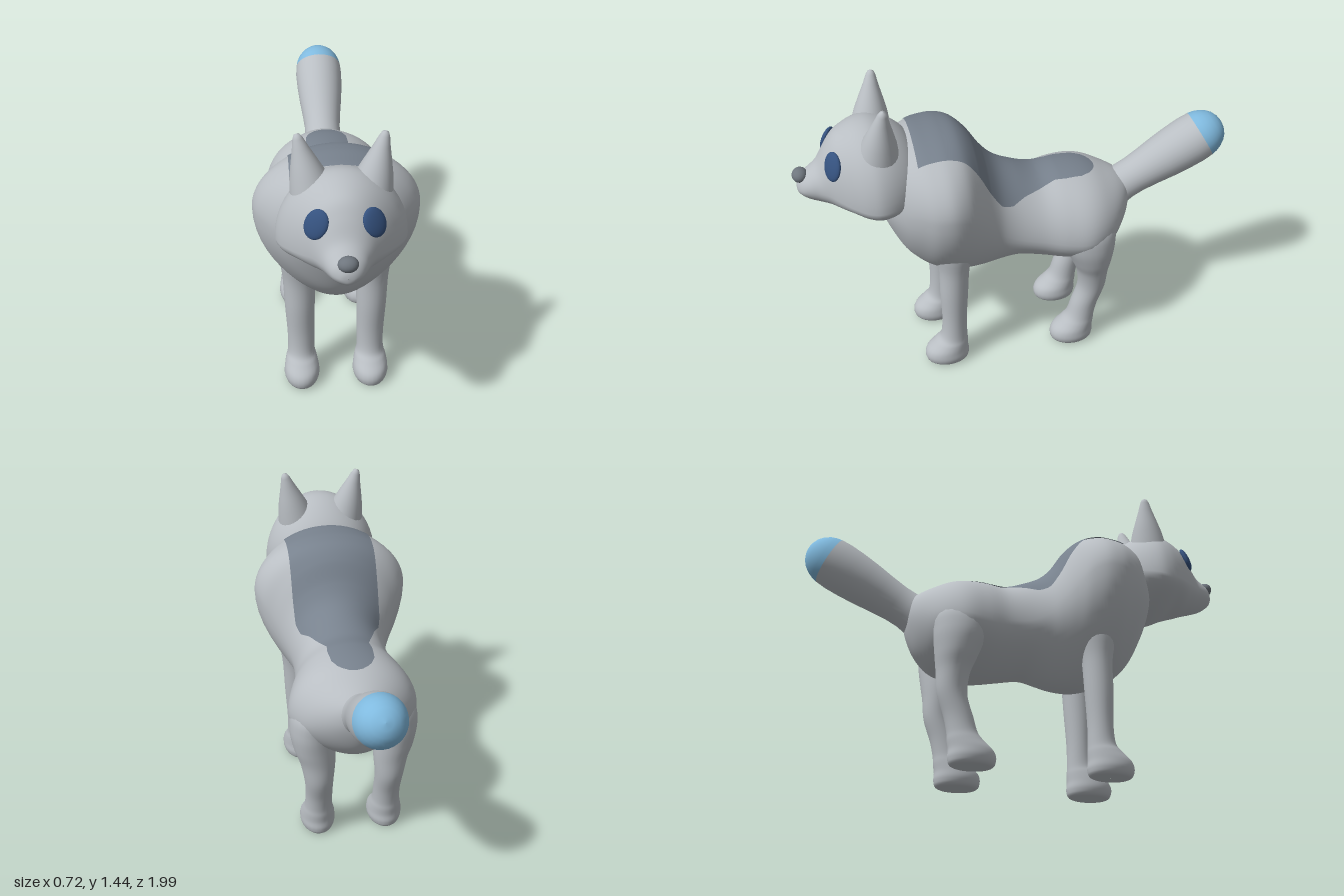
import * as THREE from 'three';

const mat = (name, color) => {
  const m = new THREE.MeshStandardMaterial({ color });
  m.name = name;
  return m;
};

// Smooth interpolation through a table of sections; u runs over the row index
function sample(rows, u) {
  const i = Math.min(Math.floor(u), rows.length - 2), t = u - i;
  const row = k => rows[THREE.MathUtils.clamp(k, 0, rows.length - 1)];
  const [a, b, c, d] = [row(i - 1), row(i), row(i + 1), row(i + 2)];
  return b.map((p, k) => {
    const m0 = (c[k] - a[k]) / 2, m1 = (d[k] - p) / 2, q = c[k];
    return p + t * (m0 + t * (3 * (q - p) - 2 * m0 - m1 + t * (2 * (p - q) + m0 + m1)));
  });
}

// Indexed grid of points; closed grids join the last column to the first
function grid(points, rows, cols, closed) {
  const index = [];
  for (let i = 0; i < rows - 1; i++) {
    for (let j = 0; j < (closed ? cols : cols - 1); j++) {
      const a = i * cols + j, b = i * cols + (j + 1) % cols;
      index.push(a, b, b + cols, a, b + cols, a + cols);
    }
  }
  const g = new THREE.BufferGeometry();
  g.setAttribute('position', new THREE.Float32BufferAttribute(points.flat(), 3));
  g.setIndex(index);
  g.computeVertexNormals();
  return g;
}

function loft(sections, ring, sides = 40, steps = 5) {
  const points = [], n = (sections.length - 1) * steps;
  for (let i = 0; i <= n; i++) {
    const s = sample(sections, i / steps);
    for (let j = 0; j < sides; j++) points.push(ring(s, j / sides * Math.PI * 2));
  }
  return grid(points, n + 1, sides, true);
}

// Egg-shaped ring across z, from [z, bottom, widest height, top, half width]
function trunkRing([z, bottom, mid, top, w], a) {
  const s = Math.sin(a);
  const x = w * Math.cos(a) * (s < 0 ? 1 - 0.25 * s * s : 1);
  return [x, mid + s * (s > 0 ? top - mid : mid - bottom), z];
}

// Oval ring across y, from [y, x, z, x radius, z radius]
const legRing = ([y, x, z, rx, rz], a) => [x + rx * Math.sin(a), Math.max(0, y), z + rz * Math.cos(a)];

const BODY = [
  [-0.53, 0.72, 0.74, 0.76, 0.02], [-0.51, 0.64, 0.73, 0.82, 0.09],
  [-0.47, 0.56, 0.71, 0.85, 0.16], [-0.41, 0.50, 0.68, 0.88, 0.23],
  [-0.34, 0.47, 0.67, 0.91, 0.275], [-0.27, 0.46, 0.66, 0.925, 0.29],
  [-0.18, 0.46, 0.66, 0.93, 0.27], [-0.08, 0.475, 0.67, 0.925, 0.235],
  [0.02, 0.49, 0.69, 0.96, 0.22], [0.10, 0.47, 0.73, 1.0, 0.225],
  [0.16, 0.455, 0.78, 1.06, 0.25], [0.22, 0.45, 0.85, 1.15, 0.29],
  [0.28, 0.455, 0.92, 1.20, 0.335], [0.35, 0.475, 0.95, 1.215, 0.36],
  [0.42, 0.505, 0.95, 1.215, 0.35], [0.48, 0.55, 0.95, 1.21, 0.315],
  [0.54, 0.62, 0.94, 1.19, 0.265], [0.59, 0.72, 0.93, 1.15, 0.2],
  [0.62, 0.80, 0.92, 1.08, 0.13], [0.635, 0.90, 0.92, 0.95, 0.02],
];
const HEAD = [
  [0.44, 0.95, 1.02, 1.12, 0.12], [0.50, 0.90, 1.02, 1.21, 0.2],
  [0.57, 0.87, 1.0, 1.27, 0.25], [0.64, 0.86, 0.99, 1.30, 0.27],
  [0.70, 0.875, 0.99, 1.30, 0.255], [0.76, 0.90, 1.0, 1.28, 0.215],
  [0.81, 0.91, 1.01, 1.25, 0.17], [0.85, 0.92, 1.02, 1.195, 0.13],
  [0.89, 0.93, 1.02, 1.125, 0.10], [0.93, 0.945, 1.02, 1.09, 0.08],
  [0.96, 0.965, 1.015, 1.07, 0.06], [0.98, 0.985, 1.01, 1.04, 0.03],
  [0.985, 1.01, 1.012, 1.014, 0.001],
];
const FRONT_LEG = [
  [0, 0.16, 0.385, 0.001, 0.001], [0, 0.16, 0.385, 0.06, 0.085],
  [0.03, 0.16, 0.387, 0.08, 0.105], [0.07, 0.16, 0.385, 0.08, 0.10],
  [0.11, 0.16, 0.365, 0.072, 0.08], [0.15, 0.16, 0.35, 0.062, 0.063],
  [0.25, 0.16, 0.345, 0.062, 0.058], [0.4, 0.163, 0.343, 0.068, 0.065],
  [0.55, 0.165, 0.338, 0.073, 0.07], [0.7, 0.17, 0.335, 0.08, 0.09],
  [0.8, 0.17, 0.335, 0.03, 0.03],
];
const HIND_LEG = [
  [0, 0.16, -0.235, 0.001, 0.001], [0, 0.16, -0.235, 0.06, 0.085],
  [0.03, 0.16, -0.233, 0.08, 0.105], [0.07, 0.16, -0.237, 0.08, 0.10],
  [0.11, 0.16, -0.26, 0.072, 0.082], [0.15, 0.16, -0.277, 0.064, 0.068],
  [0.22, 0.16, -0.295, 0.062, 0.065], [0.32, 0.163, -0.325, 0.066, 0.066],
  [0.42, 0.168, -0.325, 0.08, 0.075], [0.5, 0.18, -0.315, 0.095, 0.095],
  [0.6, 0.19, -0.3, 0.10, 0.12], [0.7, 0.18, -0.29, 0.09, 0.12],
  [0.8, 0.15, -0.28, 0.02, 0.02],
];
// Half width of the back marking along z
const SADDLE = [
  [-0.36, 0.002], [-0.355, 0.03], [-0.34, 0.055], [-0.32, 0.075], [-0.28, 0.095], [-0.2, 0.1],
  [-0.15, 0.095], [-0.1, 0.11], [0, 0.15], [0.06, 0.18], [0.12, 0.197], [0.18, 0.2], [0.48, 0.2],
];

// Thin marking that follows the top of the body
function saddleGeometry() {
  const points = [], cols = 25;
  let rows = 0;
  for (let u = 3; u <= 15.0001; u += 0.04) {
    const s = sample(BODY, u), z = s[0];
    const k = SADDLE.findIndex(p => p[0] >= z);
    if (k < 1) continue;
    const [[z0, b0], [z1, b1]] = [SADDLE[k - 1], SADDLE[k]];
    const half = THREE.MathUtils.mapLinear(z, z0, z1, b0, b1);
    for (let j = 0; j < cols; j++) {
      const x = half * (1 - 2 * j / (cols - 1));
      const p = trunkRing(s, Math.acos(THREE.MathUtils.clamp(x / s[4], -1, 1)));
      points.push([p[0] * 1.008, p[1] + 0.004, z]);
    }
    rows++;
  }
  return grid(points, rows, cols, false);
}

const lathe = (profile, sides = 32) =>
  new THREE.LatheGeometry(profile.map(p => new THREE.Vector2(p[0], p[1])), sides);

export function createModel() {
  const fur = mat('grey fur', 0xb9bec3);
  const dark = mat('dark back fur', 0x78828e);
  const blue = mat('light blue tail tip', 0x80badf);
  const eyeBlue = mat('deep blue eye', 0x35527f);
  const noseGrey = mat('nose grey', 0x6f767e);
  dark.side = THREE.DoubleSide;

  const model = new THREE.Group();
  model.name = 'wolf';
  const add = (name, geometry, material, parent = model) => {
    const mesh = new THREE.Mesh(geometry, material);
    mesh.name = name;
    parent.add(mesh);
    return mesh;
  };

  add('body', loft(BODY, trunkRing, 56), fur);
  add('backMarking', saddleGeometry(), dark);
  add('head', loft(HEAD, trunkRing, 48), fur);

  const nose = add('nose', new THREE.SphereGeometry(1, 20, 14), noseGrey);
  nose.scale.set(0.041, 0.032, 0.035);
  nose.position.set(0, 1.068, 0.965);

  // Paired parts
  for (const [side, s] of [['left', 1], ['right', -1]]) {
    const mirrored = rows => rows.map(([y, x, z, rx, rz]) => [y, s * x, z, rx, rz]);
    add(side + 'FrontLeg', loft(mirrored(FRONT_LEG), legRing, 24), fur);
    add(side + 'HindLeg', loft(mirrored(HIND_LEG), legRing, 24), fur);

    const ear = add(side + 'Ear', lathe([[0.088, -0.02], [0.072, 0.05], [0.052, 0.11], [0.033, 0.165],
      [0.021, 0.205], [0.013, 0.221], [0, 0.227]], 24), fur);
    ear.position.set(s * 0.125, 1.22, 0.63);
    ear.quaternion.setFromUnitVectors(new THREE.Vector3(0, 1, 0),
      new THREE.Vector3(s * 0.05, 0.22, -0.025).normalize());

    const eye = add(side + 'Eye', new THREE.SphereGeometry(1, 24, 16), eyeBlue);
    eye.position.set(s * 0.113, 1.163, 0.828);
    eye.lookAt(s * 0.583, 1.503, 1.618);
    eye.rotateZ(s * 0.3);
    eye.scale.set(0.05, 0.064, 0.018);
  }

  // Tail, built upright and tilted back
  const tail = new THREE.Group();
  tail.name = 'tail';
  tail.position.set(0, 0.715, -0.4);
  tail.quaternion.setFromUnitVectors(new THREE.Vector3(0, 1, 0),
    new THREE.Vector3(0, 0.325, -0.575).normalize());
  model.add(tail);
  add('tailFur', lathe([[0.11, 0], [0.098, 0.06], [0.088, 0.13], [0.088, 0.19], [0.096, 0.27], [0.106, 0.35],
    [0.113, 0.43], [0.116, 0.5], [0.113, 0.55]]), fur, tail);
  add('tailTip', lathe([[0.113, 0.55], [0.108, 0.575], [0.098, 0.6], [0.082, 0.625], [0.06, 0.645],
    [0.032, 0.658], [0, 0.663]]), blue, tail);

  return model;
}
